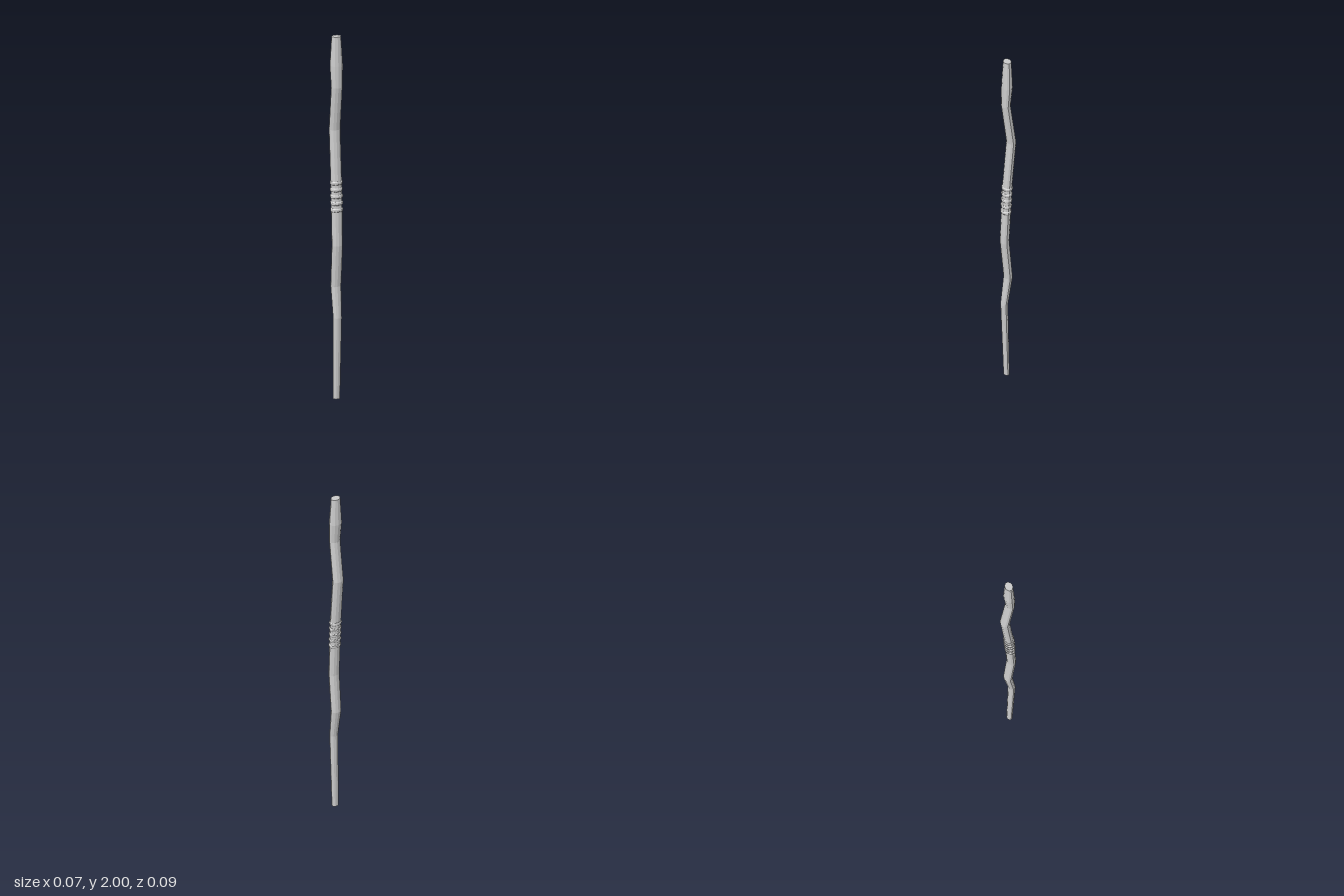
import * as THREE from 'three';

const SIDES = 12;

// Sections of the crooked shaft: height, centre z, half width x, half depth z
const SECTIONS = [
  [0.00, 0.008, 0.019, 0.015],
  [0.45, 0.021, 0.024, 0.019],
  [0.62, -0.001, 0.029, 0.023],
  [0.85, 0.019, 0.030, 0.024],
  [1.20, 0.004, 0.031, 0.025],
  [1.48, -0.019, 0.031, 0.025],
  [1.72, 0.012, 0.031, 0.024],
  [1.84, 0.005, 0.036, 0.029],
  [2.00, 0.004, 0.026, 0.021],
];

// Section at any height along the shaft
function sectionAt(y) {
  const i = Math.max(1, SECTIONS.findIndex((s) => s[0] >= y));
  const a = SECTIONS[i - 1], b = SECTIONS[i];
  const t = (y - a[0]) / (b[0] - a[0]);
  return a.map((v, k) => v + (b[k] - v) * t);
}

// Closed skin over a stack of elliptical sections
function loft(sections) {
  const pos = [], index = [];
  for (const [y, z, rx, rz] of sections) {
    for (let j = 0; j < SIDES; j++) {
      const a = (j / SIDES) * Math.PI * 2;
      pos.push(Math.sin(a) * rx, y, z + Math.cos(a) * rz);
    }
  }
  for (let i = 0; i < sections.length - 1; i++) {
    for (let j = 0; j < SIDES; j++) {
      const k = (j + 1) % SIDES;
      const a = i * SIDES + j, b = i * SIDES + k;
      index.push(a, b, b + SIDES, a, b + SIDES, a + SIDES);
    }
  }
  const top = (sections.length - 1) * SIDES;
  for (let j = 1; j < SIDES - 1; j++) {
    index.push(0, j + 1, j, top, top + j, top + j + 1);
  }
  const geometry = new THREE.BufferGeometry();
  geometry.setAttribute('position', new THREE.Float32BufferAttribute(pos, 3));
  geometry.setIndex(index);
  geometry.computeVertexNormals();
  return geometry;
}

export function createModel() {
  const group = new THREE.Group();
  group.name = 'staff';
  const material = new THREE.MeshStandardMaterial({ color: 0xcccccc, flatShading: true });

  const shaft = new THREE.Mesh(loft(SECTIONS), material);
  shaft.name = 'shaft';
  group.add(shaft);

  // Raised bands of the grip, following the bend of the shaft
  const grip = new THREE.Group();
  grip.name = 'grip';
  for (let i = 0; i < 5; i++) {
    const y = 1.045 + i * 0.037;
    const profile = [[-0.01, 0.0005], [-0.005, 0.004], [0.005, 0.004], [0.01, 0.0005]];
    const band = new THREE.Mesh(loft(profile.map(([dy, out]) => {
      const [h, z, rx, rz] = sectionAt(y + dy);
      return [h, z, rx + out, rz + out];
    })), material);
    band.name = 'gripBand' + (i + 1);
    grip.add(band);
  }
  group.add(grip);
  return group;
}
